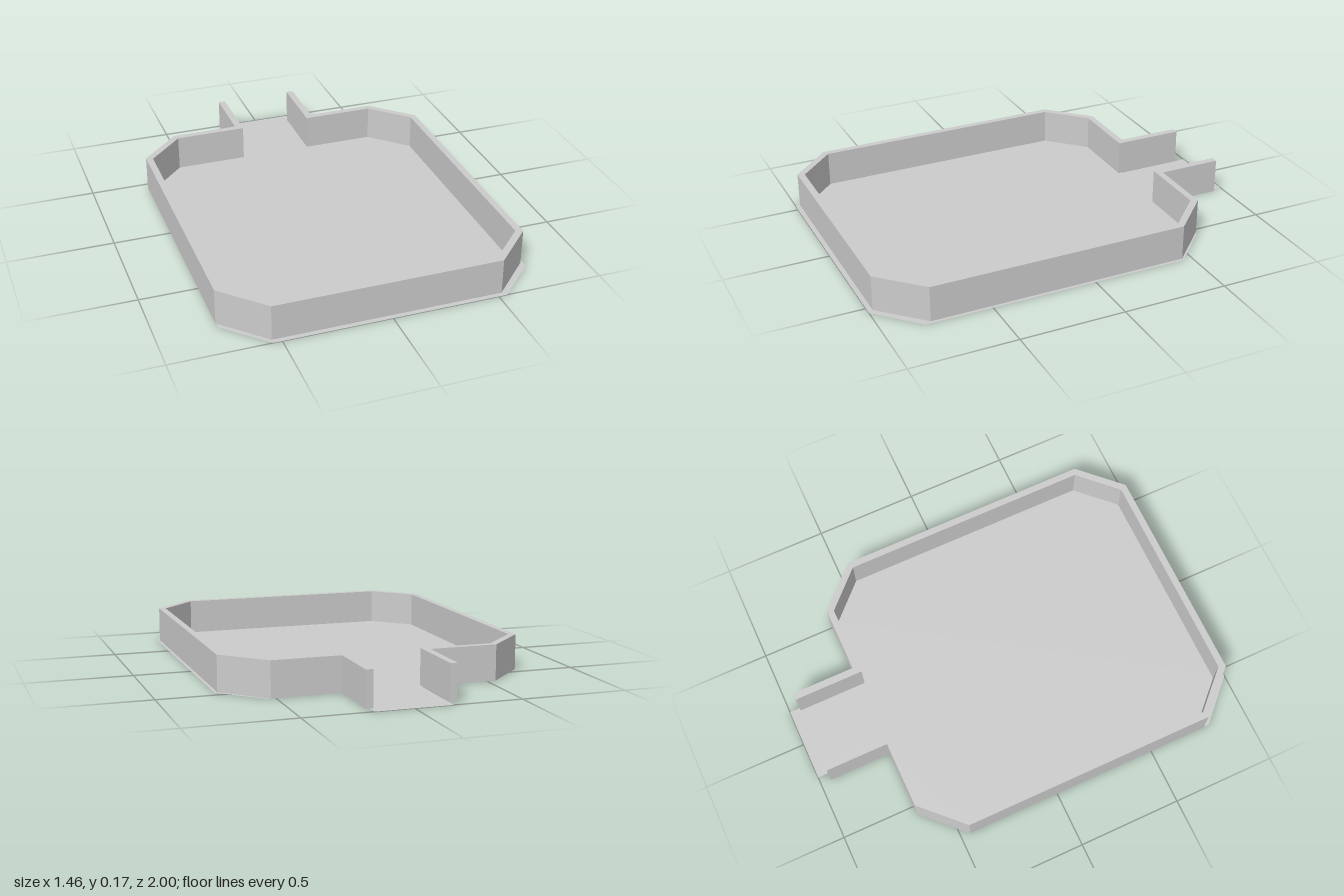
import * as THREE from 'three';

const HEIGHT = 0.17;
const material = new THREE.MeshStandardMaterial({ color: 0xcccccc, flatShading: true, side: THREE.DoubleSide });

// Mirrors half an outline of [x, z] points to the other side, back in reverse order.
const mirror = (half) => half.map(([x, z]) => [-x, z]).reverse();

// Shape in plan; lying flat, its y becomes -z.
const plan = (points) => new THREE.Shape(points.map(([x, z]) => new THREE.Vector2(x, -z)));

export function createModel() {
  const group = new THREE.Group();

  // Floor: thin sheet with chamfered corners and a neck at the back
  const floorHalf = [[0.18, -1], [0.18, -0.64], [0.54, -0.64], [0.727, -0.455], [0.727, 0.815], [0.54, 1]];
  const floorGeometry = new THREE.ShapeGeometry(plan([...floorHalf, ...mirror(floorHalf)]));
  floorGeometry.rotateX(-Math.PI / 2);
  const floor = new THREE.Mesh(floorGeometry, material);
  floor.name = 'floor';
  group.add(floor);

  // Wall: one continuous strip, open at the neck, set slightly off the floor's centre
  const outer = [[0.208, -0.95], [0.208, -0.645], [0.532, -0.645], [0.722, -0.455], [0.722, 0.785], [0.532, 0.978]];
  const inner = [[0.174, -0.95], [0.174, -0.613], [0.518, -0.613], [0.69, -0.441], [0.69, 0.771], [0.518, 0.945]];
  const outerLoop = [...outer, ...mirror(outer)];
  const innerLoop = [...inner, ...mirror(inner)];
  const wallGeometry = new THREE.ExtrudeGeometry(plan([...outerLoop, ...innerLoop.reverse()]), {
    depth: HEIGHT - 0.001,
    bevelEnabled: false,
  });
  wallGeometry.rotateX(-Math.PI / 2);
  const wall = new THREE.Mesh(wallGeometry, material);
  wall.name = 'wall';
  wall.position.set(-0.008, 0.001, 0);
  group.add(wall);

  return group;
}
